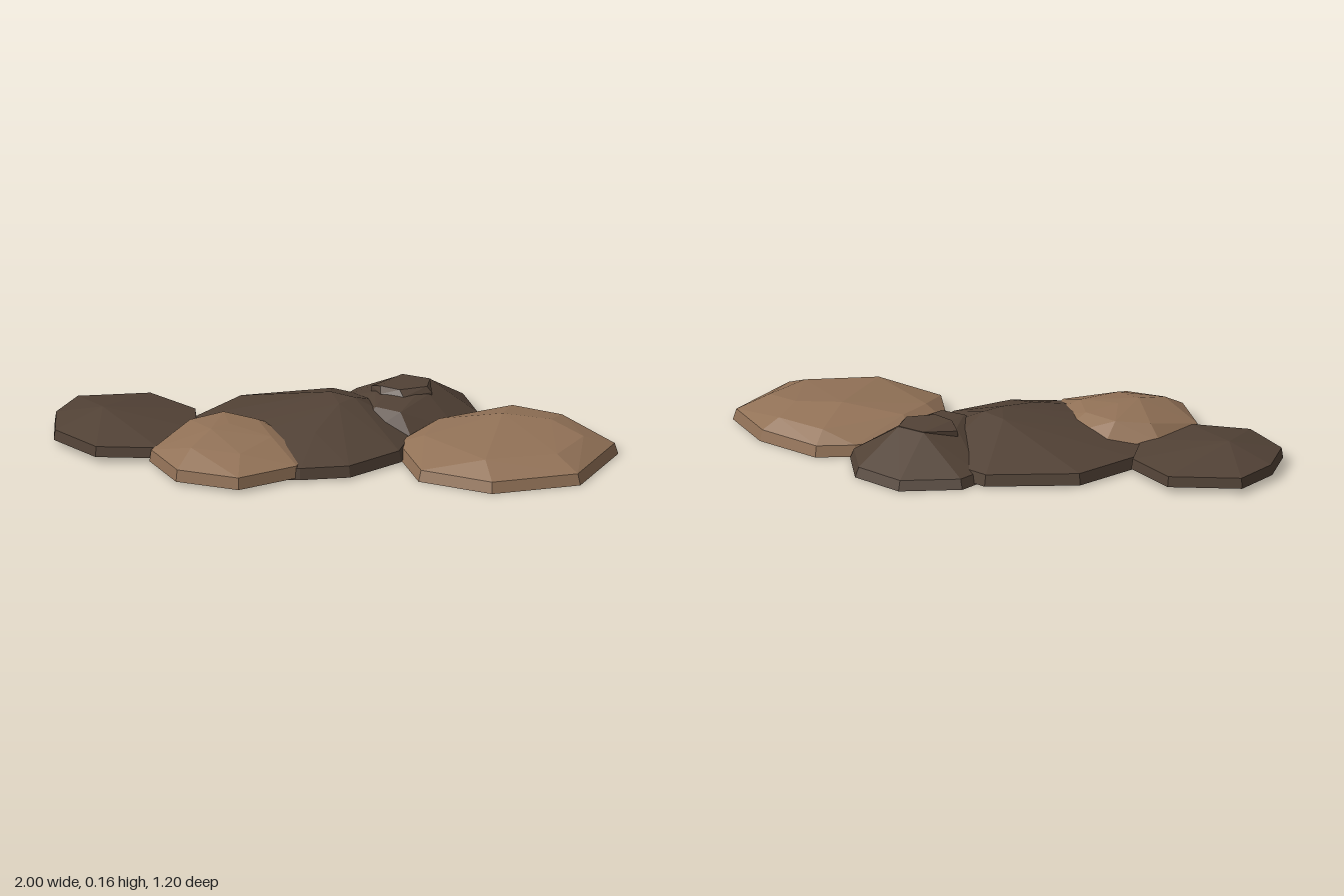
import * as THREE from 'three';
import { ConvexGeometry } from 'three/addons/geometries/ConvexGeometry.js';

const shell = { flatShading: true, side: THREE.DoubleSide };
const darkStone = new THREE.MeshStandardMaterial({ name: 'darkStone', color: 0x524236, ...shell });
const lightStone = new THREE.MeshStandardMaterial({ name: 'lightStone', color: 0x927257, ...shell });

// Removes the faces that look straight down, leaving a shell open underneath.
function openUnderside(geometry) {
  const pos = geometry.attributes.position;
  const kept = [];
  const tri = new THREE.Triangle();
  const normal = new THREE.Vector3();
  for (let i = 0; i < pos.count; i += 3) {
    tri.setFromAttributeAndIndices(pos, i, i + 1, i + 2);
    if (tri.getNormal(normal).y > -0.7) {
      for (const p of [tri.a, tri.b, tri.c]) kept.push(p.clone());
    }
  }
  const open = new THREE.BufferGeometry().setFromPoints(kept);
  open.computeVertexNormals();
  return open;
}

// A flat hollow stone: outline [x, z] raised from base to rim, capped by crown points [x, y, z].
// inset narrows the rim towards the centre.
function stone(name, material, { outline, base, rim, crown, inset = 0.02 }) {
  const n = outline.length;
  const cx = outline.reduce((s, p) => s + p[0], 0) / n;
  const cz = outline.reduce((s, p) => s + p[1], 0) / n;
  const points = crown.map((p) => new THREE.Vector3(...p));
  for (const [x, z] of outline) {
    points.push(new THREE.Vector3(x, base, z));
    points.push(new THREE.Vector3(x + (cx - x) * inset, rim, z + (cz - z) * inset));
  }
  const mesh = new THREE.Mesh(openUnderside(new ConvexGeometry(points)), material);
  mesh.name = name;
  return mesh;
}

export function createModel() {
  const group = new THREE.Group();
  group.name = 'flatStones';

  // Low stone on the far right side
  group.add(stone('rightStone', darkStone, {
    outline: [[-0.74, -0.12], [-0.53, -0.02], [-0.45, 0.18], [-0.52, 0.41], [-0.74, 0.475], [-0.94, 0.36], [-1, 0.18], [-0.98, 0]],
    base: 0.022, rim: 0.06,
    crown: [[-0.81, 0.11, 0.2], [-0.65, 0.085, 0.24]],
  }));

  // Large central stone, running on beneath the front stone
  group.add(stone('centreStone', darkStone, {
    outline: [[-0.15, -0.415], [-0.44, -0.23], [-0.52, 0.02], [-0.49, 0.25], [-0.38, 0.42], [-0.2, 0.47], [0.02, 0.415], [0.18, 0.33], [0.3, 0.12], [0.28, -0.12], [0.1, -0.36]],
    base: 0.008, rim: 0.05,
    crown: [[-0.05, 0.153, -0.11], [0.05, 0.155, -0.08], [0.02, 0.155, 0], [-0.21, 0.115, -0.05], [0.0, 0.112, 0.2]],
  }));

  // Light stone lapping over the front edge
  group.add(stone('frontStone', lightStone, {
    outline: [[-0.39, 0.595], [-0.15, 0.6], [0.01, 0.41], [-0.02, 0.2], [-0.17, 0.05], [-0.38, 0.04], [-0.53, 0.19], [-0.55, 0.43]],
    base: 0.014, rim: 0.058,
    crown: [[-0.34, 0.14, 0.36], [-0.3, 0.138, 0.28], [-0.47, 0.11, 0.22], [-0.37, 0.125, 0.14], [-0.23, 0.124, 0.17], [-0.13, 0.115, 0.3], [-0.37, 0.11, 0.49], [-0.19, 0.102, 0.47]],
  }));

  // Back stone: sloping body and a raised crag with a steep front
  group.add(stone('backStone', darkStone, {
    outline: [[0.1, -0.6], [0.31, -0.55], [0.43, -0.38], [0.42, -0.18], [0.3, -0.01], [0.1, 0.06], [-0.05, -0.1], [-0.11, -0.37], [-0.09, -0.47]],
    base: 0.002, rim: 0.038, inset: 0.05,
    crown: [[0.13, 0.149, -0.37], [0.24, 0.149, -0.36], [0.08, 0.13, -0.22], [0.27, 0.13, -0.26], [0.13, 0.128, -0.08], [0.23, 0.123, -0.07]],
  }));
  group.add(stone('backCrag', darkStone, {
    outline: [[0.05, -0.26], [0.11, -0.19], [0.2, -0.185], [0.28, -0.27], [0.24, -0.36], [0.13, -0.36]],
    base: 0.115, rim: 0.135,
    crown: [[0.1, 0.155, -0.22], [0.18, 0.157, -0.2], [0.26, 0.155, -0.27], [0.24, 0.151, -0.36], [0.13, 0.151, -0.37]],
  }));

  // Broad light stone on the left side
  group.add(stone('leftStone', lightStone, {
    outline: [[0.54, -0.44], [0.8, -0.39], [1, -0.24], [0.98, 0.11], [0.71, 0.3], [0.42, 0.27], [0.24, 0.02], [0.28, -0.18], [0.42, -0.36]],
    base: 0.001, rim: 0.042, inset: 0.03,
    crown: [[0.58, 0.125, -0.18], [0.75, 0.11, -0.22], [0.9, 0.088, -0.15], [0.75, 0.085, -0.34], [0.55, 0.085, -0.37], [0.36, 0.098, -0.12], [0.36, 0.09, 0.04], [0.65, 0.09, 0.2], [0.87, 0.086, 0.05]],
  }));

  return group;
}
